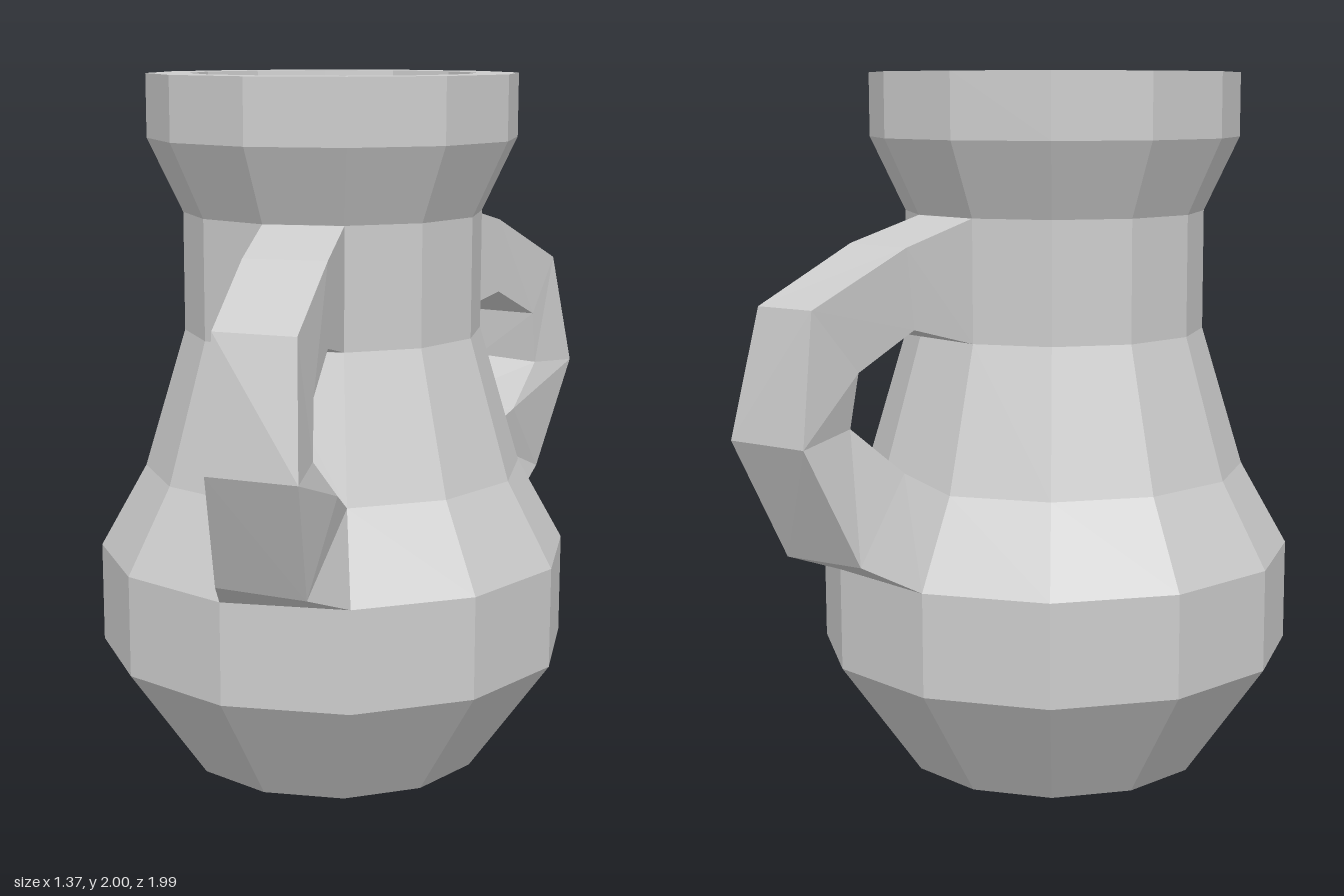
import * as THREE from 'three';

const material = new THREE.MeshStandardMaterial({ color: 0xcccccc, flatShading: true });

// Twelve-sided hollow vessel: outer profile going up, then down the inside
function createBody() {
  const profile = [
    [0, 0], [0.445, 0], [0.685, 0.34], [0.685, 0.63], [0.55, 0.87], [0.43, 1.27],
    [0.43, 1.61], [0.53, 1.82], [0.53, 2], [0.41, 2], [0.26, 0.4], [0, 0.4],
  ].map(([r, y]) => new THREE.Vector2(r, y));
  const body = new THREE.Mesh(new THREE.LatheGeometry(profile, 12), material);
  body.name = 'body';
  return body;
}

// Handle cross-sections from neck to shoulder: outer left, outer right, inner right, inner left
const sections = [
  [[0, 1.61, 0.43], [0.215, 1.61, 0.37], [0.215, 1.27, 0.37], [0, 1.27, 0.43]],
  [[0.06, 1.545, 0.65], [0.28, 1.545, 0.6], [0.28, 1.32, 0.6], [0.06, 1.325, 0.62]],
  [[0.14, 1.405, 0.95], [0.35, 1.4, 0.905], [0.33, 1.23, 0.78], [0.11, 1.23, 0.8]],
  [[0.14, 1.055, 0.995], [0.39, 1.055, 0.98], [0.335, 1.07, 0.795], [0.14, 1.08, 0.8]],
  [[0.08, 0.725, 0.845], [0.335, 0.72, 0.83], [0.325, 0.945, 0.635], [0.07, 0.945, 0.66]],
  [[0, 0.63, 0.685], [0.3425, 0.63, 0.593], [0.275, 0.87, 0.476], [0, 0.87, 0.55]],
];

// side = 1 for the front handle, -1 for its mirror image at the back
function createHandle(name, side) {
  const positions = [];
  const put = (p) => positions.push(p[0], p[1], p[2] * side);
  const triangle = (a, b, c) => (side > 0 ? [a, b, c] : [a, c, b]).forEach(put);
  for (let i = 0; i < sections.length - 1; i++) {
    for (let k = 0; k < 4; k++) {
      const n = (k + 1) % 4;
      const a = sections[i][k], b = sections[i + 1][k];
      const c = sections[i + 1][n], d = sections[i][n];
      triangle(a, b, c);
      triangle(a, c, d);
    }
  }
  const geometry = new THREE.BufferGeometry();
  geometry.setAttribute('position', new THREE.Float32BufferAttribute(positions, 3));
  geometry.computeVertexNormals();
  const handle = new THREE.Mesh(geometry, material);
  handle.name = name;
  return handle;
}

export function createModel() {
  const vase = new THREE.Group();
  vase.name = 'vase';
  vase.add(createBody(), createHandle('frontHandle', 1), createHandle('backHandle', -1));
  return vase;
}
